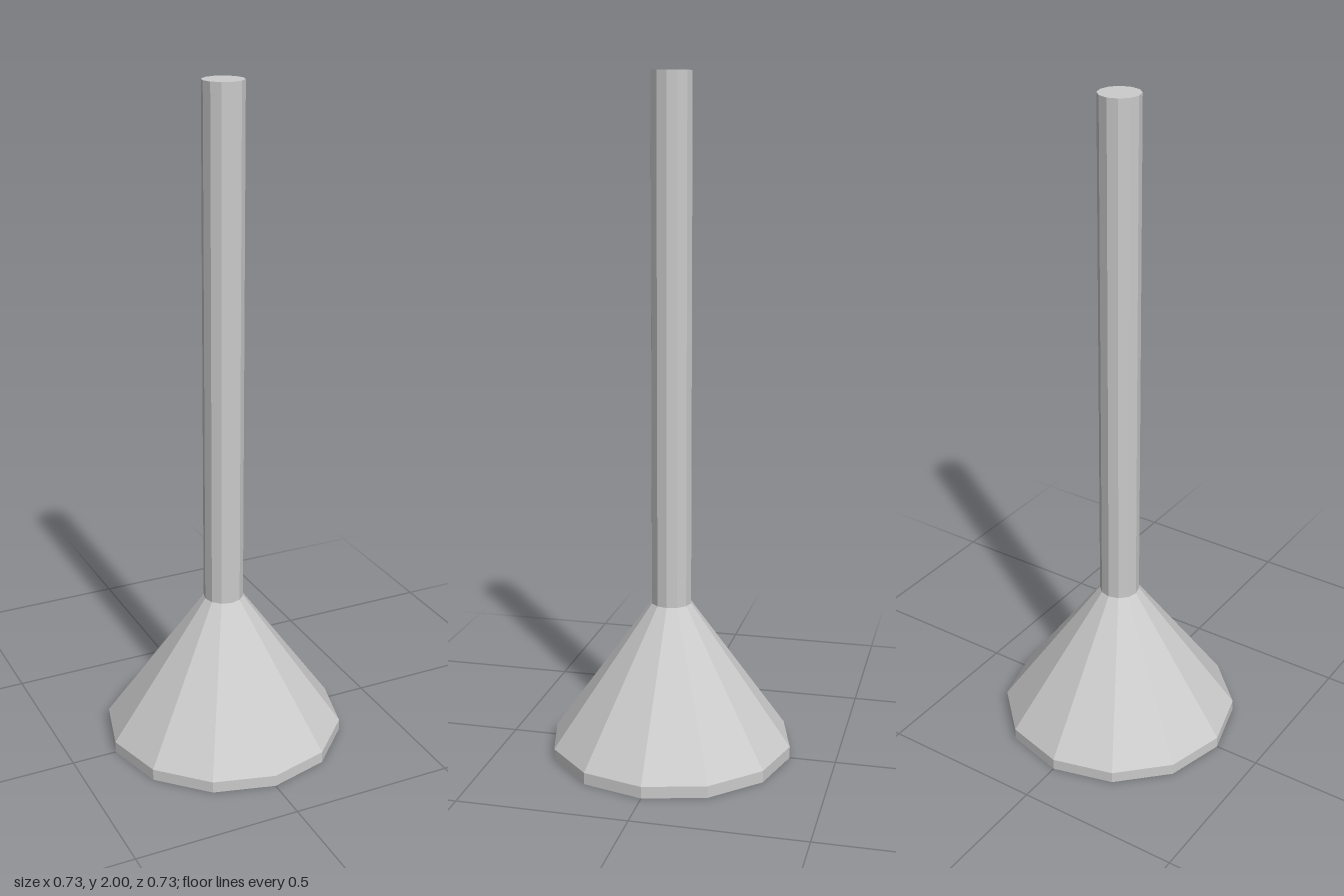
import * as THREE from 'three';

const SIDES = 12;
const STEM_RADIUS = 0.06;
const BELL_RADIUS = 0.363;
const RIM_TOP = 0.035;
const BELL_TOP = 0.46;
const HEIGHT = 2;

export function createModel() {
  const group = new THREE.Group();
  group.name = 'plunger';
  const options = { color: 0xcccccc, flatShading: true };

  // Straight handle, closed at both ends
  const length = HEIGHT - BELL_TOP;
  const handle = new THREE.Mesh(
    new THREE.CylinderGeometry(STEM_RADIUS, STEM_RADIUS, length, SIDES),
    new THREE.MeshStandardMaterial(options)
  );
  handle.name = 'handle';
  handle.position.y = BELL_TOP + length / 2;
  group.add(handle);

  // Thin hollow bell, open below, with a short upright rim
  const profile = [
    [BELL_RADIUS, 0],
    [BELL_RADIUS, RIM_TOP],
    [STEM_RADIUS, BELL_TOP],
  ].map(([r, y]) => new THREE.Vector2(r, y));
  const bell = new THREE.Mesh(
    new THREE.LatheGeometry(profile, SIDES),
    new THREE.MeshStandardMaterial({ ...options, side: THREE.DoubleSide })
  );
  bell.name = 'bell';
  group.add(bell);

  return group;
}
